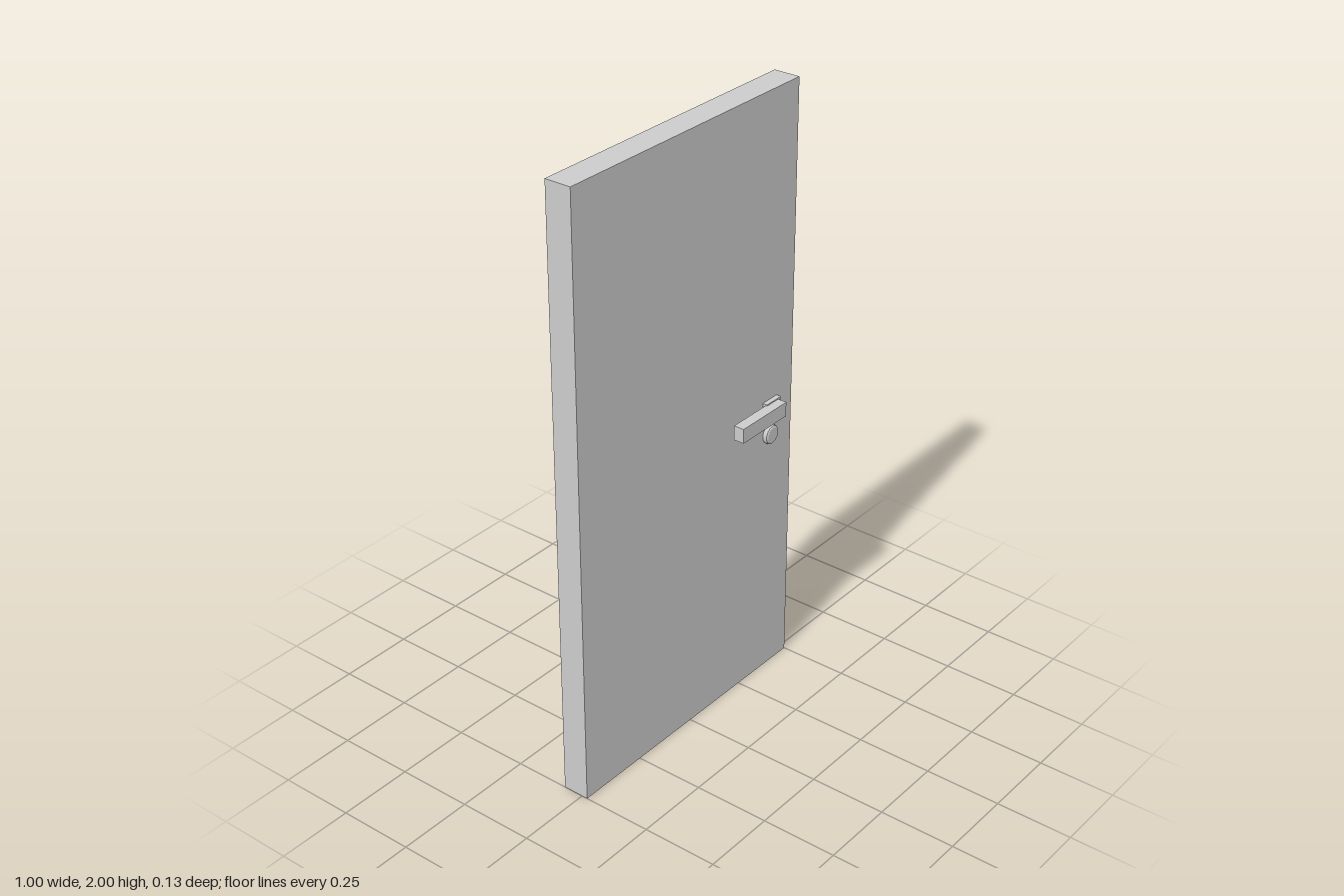
import * as THREE from 'three';

const material = new THREE.MeshStandardMaterial({ color: 0xcccccc, flatShading: true });

// Adds a box given its [min, max] extent along each axis.
function addBox(group, name, [x0, x1], [y0, y1], [z0, z1]) {
  const mesh = new THREE.Mesh(new THREE.BoxGeometry(x1 - x0, y1 - y0, z1 - z0), material);
  mesh.position.set((x0 + x1) / 2, (y0 + y1) / 2, (z0 + z1) / 2);
  mesh.name = name;
  group.add(mesh);
}

export function createModel() {
  const door = new THREE.Group();
  door.name = 'door';

  // Plain slab
  addBox(door, 'doorPanel', [-0.5, 0.5], [0, 2], [-0.068, 0.02]);

  // Lever handle on its mounting plate
  addBox(door, 'handlePlate', [0.354, 0.424], [0.928, 0.99], [0.015, 0.036]);
  addBox(door, 'handleLever', [0.196, 0.411], [0.937, 0.986], [0.031, 0.067]);

  // Round lock cylinder with a bevelled rim, turned to face +z
  const profile = [[0, 0], [0.032, 0], [0.032, 0.012], [0.03, 0.018], [0.025, 0.021], [0, 0.021]]
    .map(([r, h]) => new THREE.Vector2(r, h));
  const lock = new THREE.Mesh(new THREE.LatheGeometry(profile, 24), material);
  lock.rotation.x = Math.PI / 2;
  lock.position.set(0.389, 0.869, 0.015);
  lock.name = 'lockCylinder';
  door.add(lock);

  return door;
}
